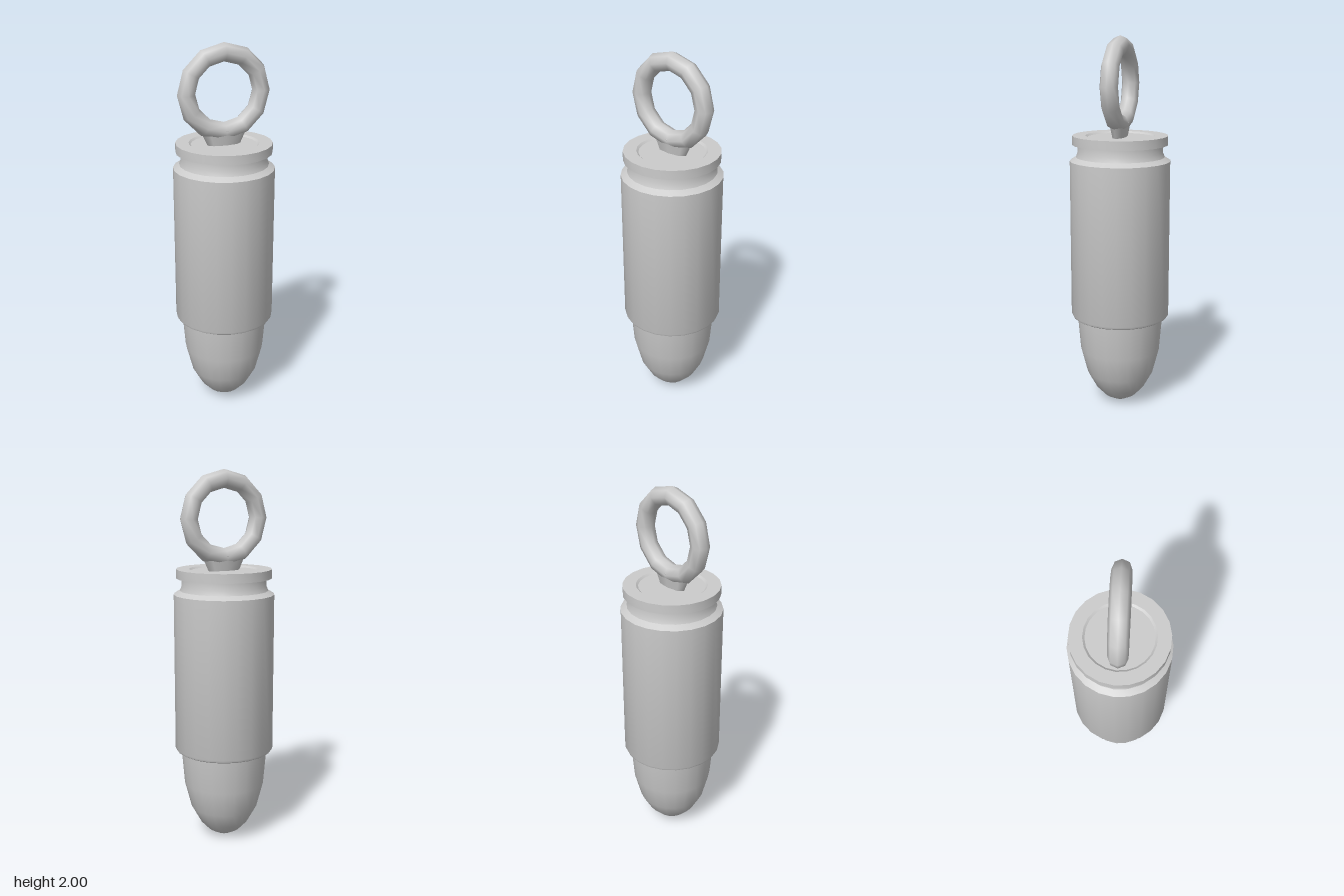
import * as THREE from 'three';
import { toCreasedNormals } from 'three/addons/utils/BufferGeometryUtils.js';

const SIDES = 22;
const material = new THREE.MeshStandardMaterial({ color: 0xcccccc });

function addMesh(group, name, geometry) {
  const mesh = new THREE.Mesh(geometry, material);
  mesh.name = name;
  group.add(mesh);
  return mesh;
}

// Turned part from [radius, height] pairs running bottom to top, with sharp edges kept
function turned(profile) {
  const points = profile.map(([r, y]) => new THREE.Vector2(r, y));
  return toCreasedNormals(new THREE.LatheGeometry(points, SIDES, 0.075), 0.55);
}

export function createModel() {
  const group = new THREE.Group();
  group.name = 'bulletPendant';

  // Rounded nose, tucked into the casing mouth
  addMesh(group, 'nose', turned([
    [0, 0], [0.04, 0.008], [0.088, 0.035], [0.135, 0.085],
    [0.182, 0.17], [0.218, 0.31], [0.234, 0.5],
  ]));

  // Casing with bevelled mouth, extractor groove, rim and recessed cap
  addMesh(group, 'casing', turned([
    [0.228, 0.497], [0.252, 0.497], [0.262, 0.503], [0.267, 0.515],
    [0.267, 1.355], [0.235, 1.375], [0.226, 1.4], [0.226, 1.437],
    [0.253, 1.44], [0.253, 1.488], [0.184, 1.488], [0.173, 1.479], [0, 1.479],
  ]));

  // Hanging ring
  const ring = addMesh(group, 'ring', new THREE.TorusGeometry(0.202, 0.048, 8, 12));
  ring.position.y = 1.75;

  // Flared foot joining the ring to the cap
  const footGeometry = new THREE.CylinderGeometry(0.128, 0.088, 0.085, 8);
  footGeometry.scale(1, 1, 0.36);
  const foot = addMesh(group, 'ringFoot', footGeometry);
  foot.position.y = 1.515;

  return group;
}
